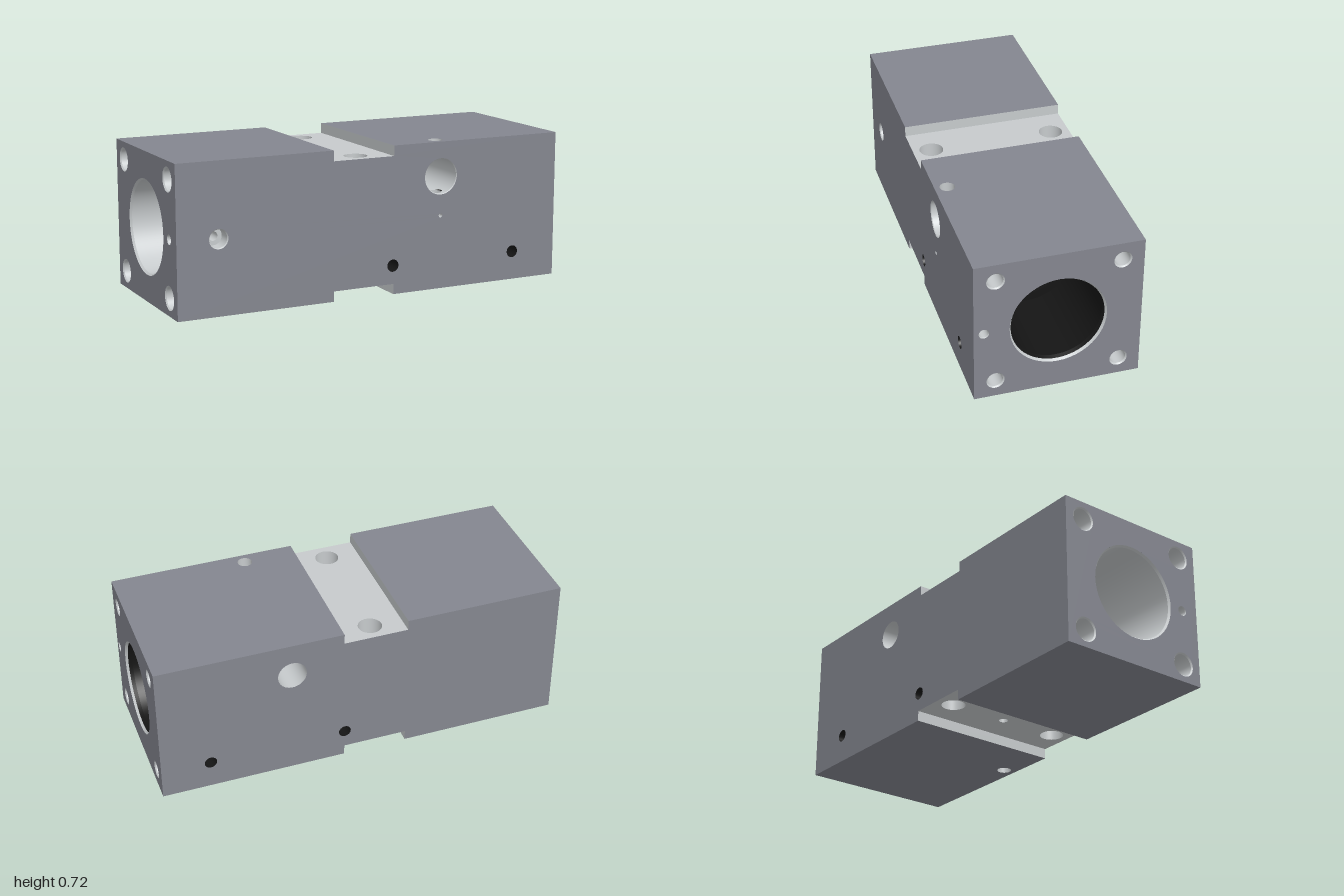
import * as THREE from 'three';
import { mergeGeometries } from 'three/addons/utils/BufferGeometryUtils.js';

const H = 0.718, D = 0.39, MID = H / 2;      // height, half depth, bore height
const G0 = -0.22, G1 = 0.095, GD = 0.05;     // cross groove: ends and depth
const paint = (color) => new THREE.MeshStandardMaterial({ color, side: THREE.DoubleSide });

export function createModel() {
  const model = new THREE.Group();
  const painted = paint(0x84868f), bare = paint(0xc6cacc), black = paint(0x151515);

  const add = (name, geometry, material) => {
    const mesh = new THREE.Mesh(geometry, material);
    mesh.name = name;
    model.add(mesh);
    return mesh;
  };

  // Flat panel with round openings [u, v, r]; place() maps (u, v) into space
  const panel = (name, outline, openings, place, material = painted) => {
    const shape = new THREE.Shape(outline.map(([u, v]) => new THREE.Vector2(u, v)));
    for (const [u, v, r] of openings) {
      shape.holes.push(new THREE.Path().absarc(u, v, r, 0, Math.PI * 2, true));
    }
    const geometry = new THREE.ShapeGeometry(shape, 24);
    const p = geometry.attributes.position;
    for (let i = 0; i < p.count; i++) p.setXYZ(i, ...place(p.getX(i), p.getY(i)));
    geometry.computeVertexNormals();
    add(name, geometry, material);
  };
  const rect = (a, b, c, d) => [[a, c], [b, c], [b, d], [a, d]];

  // Turned hole: profile of [radius, depth], running inward from origin along dir
  const hole = (name, origin, dir, profile, material = bare, rows = 1) => {
    const parts = [];
    for (let i = 1; i < profile.length; i++) {
      const a = new THREE.Vector2(...profile[i - 1]), b = new THREE.Vector2(...profile[i]);
      const points = [];
      for (let k = 0; k <= rows; k++) points.push(a.clone().lerp(b, k / rows));
      parts.push(new THREE.LatheGeometry(points, 64));
    }
    const geometry = mergeGeometries(parts);
    const turn = new THREE.Quaternion().setFromUnitVectors(
      new THREE.Vector3(0, 1, 0), new THREE.Vector3(...dir));
    geometry.applyQuaternion(turn).translate(...origin);
    return add(name, geometry, material);
  };

  // Remove the triangles of a wall where another hole breaks through it
  const breakThrough = (mesh, inside) => {
    const p = mesh.geometry.attributes.position, index = mesh.geometry.index.array, kept = [];
    const c = new THREE.Vector3(), v = new THREE.Vector3();
    for (let i = 0; i < index.length; i += 3) {
      c.set(0, 0, 0);
      for (let k = 0; k < 3; k++) c.add(v.fromBufferAttribute(p, index[i + k]));
      c.divideScalar(3);
      if (!inside(c)) kept.push(index[i], index[i + 1], index[i + 2]);
    }
    mesh.geometry.setIndex(kept);
  };

  // Front and back faces
  const side = [[-1, 0], [G0, 0], [G0, GD], [G1, GD], [G1, 0], [1, 0],
    [1, H], [G1, H], [G1, H - GD], [G0, H - GD], [G0, H], [-1, H]];
  const pins = [[0.092, 0.14, 0.03], [0.76, 0.14, 0.03]];
  panel('frontFace', side, [...pins, [0.35, 0.55, 0.088], [-0.797, 0.36, 0.047], [0.35, 0.36, 0.01]],
    (x, y) => [x, y, D]);
  panel('backFace', side, [...pins, [0.35, 0.55, 0.07]], (x, y) => [-x, y, -D].map((n, i) => (i ? n : x)));

  // Top and bottom faces with the cross grooves
  const port = [0.35, 0.33, 0.035];
  const bolts = [[-0.063, 0.3, 0.057], [-0.063, -0.3, 0.057]];
  for (const [label, y, floor] of [['top', H, H - GD], ['bottom', 0, GD]]) {
    panel(label + 'RightFace', rect(-1, G0, -D, D), [], (x, z) => [x, y, z]);
    panel(label + 'LeftFace', rect(G1, 1, -D, D), [port], (x, z) => [x, y, z]);
    const openings = y ? bolts : [...bolts, [-0.063, 0, 0.022]];
    panel(label + 'GrooveFloor', rect(G0, G1, -D, D), openings, (x, z) => [x, floor, z], bare);
    for (const x of [G0, G1]) {
      panel(label + 'GrooveWall', rect(-D, D, Math.min(y, floor), Math.max(y, floor)), [],
        (z, v) => [x, v, z], bare);
    }
  }

  // End faces with their corner holes and a dowel hole
  const ends = [
    { name: 'left', x: 1, bore: 0.226, r: 0.042, dowel: 0.343 },
    { name: 'right', x: -1, bore: 0.228, r: 0.058, dowel: 0.3 },
  ];
  for (const { name, x, bore, r, dowel } of ends) {
    const openings = [[0, MID, bore], [dowel, MID, 0.024]];
    const inward = [-x, 0, 0];
    for (const z of [-0.29, 0.29]) {
      for (const y of [MID - 0.273, MID + 0.273]) {
        openings.push([z, y, r]);
        hole(name + 'CornerHole', [x, y, z], inward,
          [[r, 0], [r - 0.006, 0.006], [r - 0.006, 0.35], [0, 0.35]]);
      }
    }
    hole(name + 'DowelHole', [x, MID, dowel], inward, [[0.024, 0], [0.022, 0.004], [0.022, 0.15], [0, 0.15]]);
    panel(name + 'EndFace', rect(-D, D, 0, H), openings, (z, y) => [x, y, z]);
  }

  // Main bore: chamfers, black bushing on the left, bare bore on the right
  hole('boreChamfer', [1, MID, 0], [-1, 0, 0], [[0.226, 0], [0.218, 0.012]]);
  hole('bushing', [1, MID, 0], [-1, 0, 0],
    [[0.218, 0.012], [0.212, 0.03], [0.212, 0.45], [0.172, 0.45], [0.172, 0.5], [0.137, 0.5], [0.137, 1.2]], black);
  hole('rightBore', [-1, MID, 0], [1, 0, 0],
    [[0.228, 0], [0.22, 0.01], [0.22, 0.75], [0.137, 0.75], [0.137, 0.8]]);

  // Stepped cross hole, opened where the vertical port and the bore cross it
  const cross = hole('crossHole', [0.35, 0.55, D], [0, 0, -1],
    [[0.088, 0], [0.085, 0.004], [0.085, 0.3], [0.07, 0.3], [0.07, 2 * D]], bare, 50);
  breakThrough(cross, (c) => Math.hypot(c.x - port[0], c.z - port[1]) < port[2]
    || Math.hypot(c.y - MID, c.z) < 0.137);
  hole('portUpper', [port[0], H, port[1]], [0, -1, 0], [[0.035, 0], [0.035, H - 0.635]]);
  hole('portLower', [port[0], 0, port[1]], [0, 1, 0], [[0.035, 0], [0.035, 0.466]]);

  // Bolt holes between the grooves and the drain beneath the bore
  for (const [x, z, r] of bolts) {
    hole('boltHole', [x, GD, z], [0, 1, 0], [[r, 0], [r, H - 2 * GD]]);
  }
  hole('drainHole', [-0.063, GD, 0], [0, 1, 0], [[0.022, 0], [0.022, 0.1], [0, 0.1]]);

  // Black pin holes on both sides, then the small front ports
  for (const [x, y, r] of pins) {
    for (const s of [1, -1]) {
      hole('pinHole', [x, y, s * D], [0, 0, -s], [[r, 0], [r, 0.12], [0, 0.12]], black);
    }
  }
  hole('frontPort', [-0.797, 0.36, D], [0, 0, -1],
    [[0.047, 0], [0.043, 0.005], [0.043, 0.07], [0.022, 0.07], [0.022, 0.17], [0, 0.17]]);
  hole('frontVent', [0.35, 0.36, D], [0, 0, -1], [[0.01, 0], [0.01, 0.1], [0, 0.1]]);

  return model;
}
